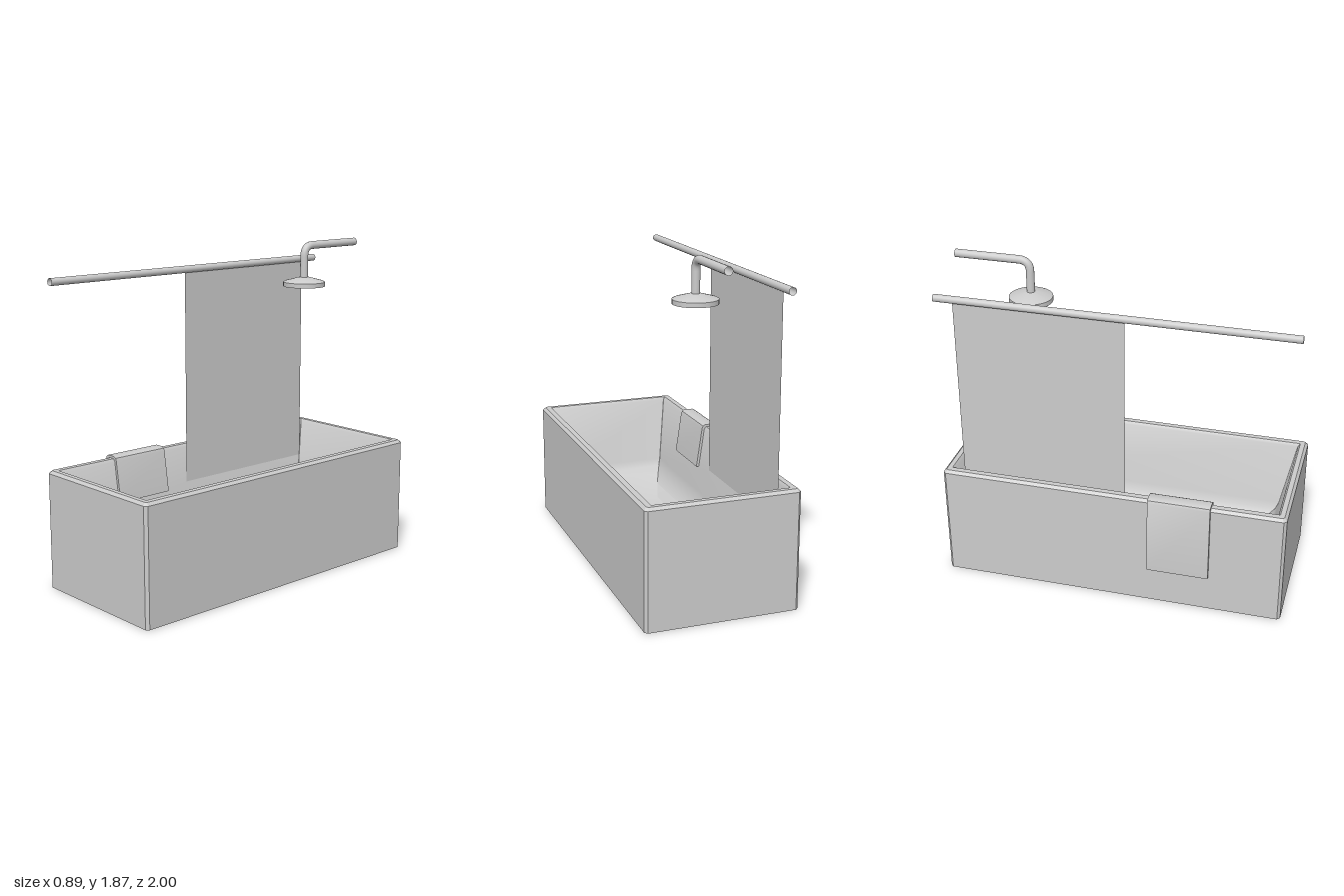
import * as THREE from 'three';
import { toCreasedNormals } from 'three/addons/utils/BufferGeometryUtils.js';

const material = new THREE.MeshStandardMaterial({ color: 0xcccccc });
const thinMaterial = new THREE.MeshStandardMaterial({ color: 0xcccccc, side: THREE.DoubleSide });

function addMesh(parent, name, geometry, mat = material) {
  const mesh = new THREE.Mesh(geometry, mat);
  mesh.name = name;
  parent.add(mesh);
  return mesh;
}

// Rectangular loop with cut corners, counter-clockwise from above.
function ring([hx, front, back, y, c]) {
  return [
    [hx, front - c], [hx, -back + c], [hx - c, -back], [-hx + c, -back],
    [-hx, -back + c], [-hx, front - c], [-hx + c, front], [hx - c, front],
  ].map(([x, z]) => [x, y, z]);
}

// Skin between successive loops, closed by a fan at both ends.
function loft(sections) {
  const rings = sections.map(ring);
  const n = rings[0].length;
  const pos = [];
  const tri = (...points) => points.forEach((p) => pos.push(...p));
  const centre = ([, front, back, y]) => [0, y, (front - back) / 2];
  const first = centre(sections[0]);
  const last = centre(sections[sections.length - 1]);
  for (let i = 0; i < n; i++) {
    const j = (i + 1) % n;
    tri(first, rings[0][j], rings[0][i]);
    for (let k = 0; k + 1 < rings.length; k++) {
      const a = rings[k], b = rings[k + 1];
      tri(a[i], a[j], b[j]);
      tri(a[i], b[j], b[i]);
    }
    const end = rings[rings.length - 1];
    tri(last, end[i], end[j]);
  }
  const geometry = new THREE.BufferGeometry();
  geometry.setAttribute('position', new THREE.Float32BufferAttribute(pos, 3));
  return toCreasedNormals(geometry, 0.5);
}

// Box outside; inside, steep walls that round into gentle end slopes and a flat floor.
function createTub() {
  // half width, front z, back z, height, corner cut
  const sections = [
    [0.434, 0.995, 0.995, 0, 0.016],
    [0.434, 0.995, 0.995, 0.664, 0.016],
    [0.418, 0.979, 0.979, 0.68, 0.01],
    [0.386, 0.952, 0.952, 0.68, 0.002],
    [0.374, 0.94, 0.94, 0.664, 0.001],
    [0.318, 0.858, 0.858, 0.29, 0.001],
    [0.305, 0.84, 0.845, 0.25, 0.001],
    [0.285, 0.8, 0.815, 0.21, 0.001],
    [0.25, 0.72, 0.76, 0.17, 0.001],
    [0.2, 0.58, 0.67, 0.13, 0.001],
    [0.16, 0.5, 0.6, 0.113, 0.001],
    [0.12, 0.44, 0.54, 0.105, 0.001],
    [0.07, 0.38, 0.48, 0.104, 0.001],
  ];
  const geometry = loft(sections);
  geometry.translate(0.009, 0, 0);
  return geometry;
}

// Cloth folded over the rim: outer flap, top, and inner flap along the wall.
function createTowel() {
  const shape = new THREE.Shape();
  const outline = [
    [-0.444, 0.22], [-0.426, 0.22], [-0.426, 0.67], [-0.415, 0.681],
    [-0.375, 0.681], [-0.364, 0.664], [-0.331, 0.43], [-0.315, 0.432],
    [-0.35, 0.67], [-0.356, 0.686], [-0.37, 0.694], [-0.424, 0.694],
    [-0.438, 0.688], [-0.444, 0.674],
  ];
  shape.setFromPoints(outline.map(([x, y]) => new THREE.Vector2(x, y)));
  const geometry = new THREE.ExtrudeGeometry(shape, { depth: 0.355, bevelEnabled: false });
  geometry.translate(0, 0, 0.22);
  return toCreasedNormals(geometry, 0.65);
}

function createShower() {
  const shower = new THREE.Group();
  shower.name = 'shower';
  const v = (y, z) => new THREE.Vector3(0.01, y, z);

  // Bent supply pipe
  const path = new THREE.CurvePath();
  path.add(new THREE.LineCurve3(v(1.848, -1), v(1.848, -0.63)));
  path.add(new THREE.QuadraticBezierCurve3(v(1.848, -0.63), v(1.848, -0.566), v(1.784, -0.566)));
  path.add(new THREE.LineCurve3(v(1.784, -0.566), v(1.65, -0.566)));
  addMesh(shower, 'showerArm', new THREE.TubeGeometry(path, 60, 0.023, 16, false), thinMaterial);

  // Disc with a shallow conical back
  const profile = [[0, 1.61], [0.124, 1.61], [0.124, 1.636], [0.112, 1.642], [0.03, 1.664], [0, 1.664]]
    .map(([r, y]) => new THREE.Vector2(r, y));
  const head = toCreasedNormals(new THREE.LatheGeometry(profile, 40), 0.5);
  addMesh(shower, 'showerHead', head).position.set(0.011, 0, -0.567);
  return shower;
}

export function createModel() {
  const model = new THREE.Group();
  model.name = 'bathtub';

  addMesh(model, 'tub', createTub());
  addMesh(model, 'towel', createTowel());
  model.add(createShower());

  // Curtain rail along the right side, open at both ends
  const rail = new THREE.CylinderGeometry(0.021, 0.021, 2, 20, 1, true).rotateX(Math.PI / 2);
  addMesh(model, 'curtainRail', rail, thinMaterial).position.set(-0.336, 1.727, 0);

  // Flat curtain reaching into the tub
  const curtain = new THREE.PlaneGeometry(0.96, 1.31).rotateY(Math.PI / 2);
  addMesh(model, 'curtain', curtain, thinMaterial).position.set(-0.334, 1.065, -0.415);

  return model;
}
